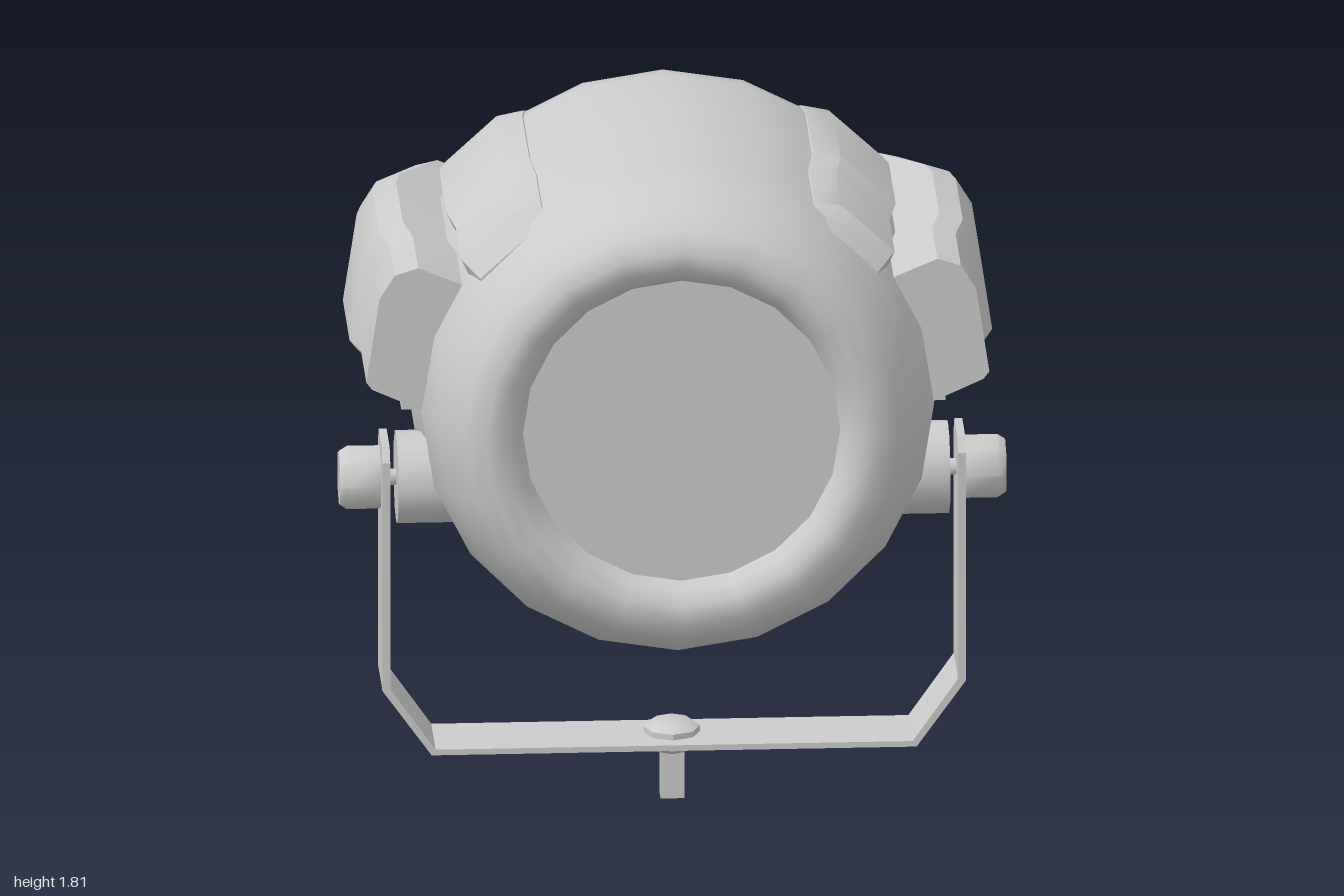
import * as THREE from 'three';
import { toCreasedNormals } from 'three/addons/utils/BufferGeometryUtils.js';

const CY = 1.135; // height of the lamp axis
const material = new THREE.MeshStandardMaterial({ color: 0xcccccc });

// Housing profile as [z, radius], back to front, ending inside the lip
const PROFILE = [
  [-0.76, 0], [-0.76, 0.08], [-0.74, 0.175], [-0.69, 0.27], [-0.62, 0.32], [-0.54, 0.345],
  [-0.42, 0.425], [-0.25, 0.525], [0.05, 0.66], [0.13, 0.675], [0.45, 0.675], [0.52, 0.65],
  [0.76, 0.65], [0.83, 0.62], [0.91, 0.59], [0.97, 0.55], [1, 0.5], [0.995, 0.455], [0.97, 0.42], [0.93, 0.4],
];

// Housing radius at a given z
function radiusAt(z) {
  for (let i = 1; i < 17; i++) {
    const [z0, r0] = PROFILE[i - 1], [z1, r1] = PROFILE[i];
    if (z <= z1 && z1 > z0) return r0 + (r1 - r0) * (z - z0) / (z1 - z0);
  }
  return 0.5;
}

function mesh(name, geometry) {
  const m = new THREE.Mesh(geometry, material);
  m.name = name;
  return m;
}

// Turned part: [radius, height] points around the y axis
function turned(points, sides, crease = 0.7) {
  const geo = new THREE.LatheGeometry(points.map(p => new THREE.Vector2(...p)), sides);
  return toCreasedNormals(geo, crease);
}

// Sweep a counter-clockwise section along z, moved radially with the housing.
// Stations are [z, extra radial offset], front to back.
function sweepOnBody(section, stations, side) {
  const pts = side > 0 ? section : section.map(([x, y]) => [-x, y]).reverse();
  const n = pts.length, pos = [], idx = [];
  for (const [z, extra] of stations) {
    const shift = radiusAt(z) - 0.675 + extra;
    for (const [x, y] of pts) {
      const d = Math.hypot(x, y - CY);
      pos.push(x + x / d * shift, y + (y - CY) / d * shift, z);
    }
  }
  const last = (stations.length - 1) * n;
  for (let s = 0; s < last; s += n) {
    for (let i = 0; i < n; i++) {
      const j = (i + 1) % n;
      idx.push(s + i, s + n + i, s + j, s + j, s + n + i, s + n + j);
    }
  }
  for (const [a, b, c] of THREE.ShapeUtils.triangulateShape(pts.map(p => new THREE.Vector2(...p)), [])) {
    idx.push(a, b, c, last + a, last + c, last + b);
  }
  const geo = new THREE.BufferGeometry();
  geo.setAttribute('position', new THREE.Float32BufferAttribute(pos, 3));
  geo.setIndex(idx);
  return toCreasedNormals(geo, 0.6);
}

export function createModel() {
  const model = new THREE.Group();
  model.name = 'spotlight';

  // Housing and lens
  const bodyGeo = new THREE.LatheGeometry(PROFILE.map(([z, r]) => new THREE.Vector2(r, z)), 20);
  const body = mesh('housing', bodyGeo.rotateX(Math.PI / 2));
  body.position.y = CY;
  const lens = mesh('lens', new THREE.CircleGeometry(0.405, 20));
  lens.position.set(0, CY, 0.935);
  model.add(body, lens);

  // Rear handle: tapered stem with a flat oval grip
  const stem = mesh('handleStem', turned(
    [[0, 0], [0.07, 0], [0.07, 0.02], [0.035, 0.05], [0.013, 0.2], [0.013, 0.22]], 8).rotateX(-Math.PI / 2));
  stem.position.set(0, 1.145, -0.755);
  const grip = mesh('handleGrip', turned(
    [[0, 0], [0.085, 0], [0.093, 0.01], [0.093, 0.03], [0.085, 0.038], [0, 0.038]], 8)
    .rotateX(-Math.PI / 2).scale(1, 0.33, 1));
  grip.position.set(0, 1.145, -0.962);
  model.add(stem, grip);

  // Side parts
  const wingSection = [[0.55, 1.13], [0.65, 1.13], [0.8, 1.2], [0.815, 1.22], [0.78, 1.45],
    [0.74, 1.515], [0.68, 1.535], [0.62, 1.51], [0.55, 1.48]];
  const plateSection = [[0.4, 1.58], [0.54, 1.49], [0.57, 1.56], [0.43, 1.69], [0.36, 1.705], [0.32, 1.66]];
  const run = [[0.52, 0], [0.44, 0], [0.13, 0], [0.05, 0], [-0.24, 0]];

  for (const side of [1, -1]) {
    const group = new THREE.Group();
    group.name = side > 0 ? 'leftSide' : 'rightSide';
    model.add(group);

    group.add(mesh('sideVane', sweepOnBody(wingSection, [[0.76, 0], ...run], side)));
    group.add(mesh('raisedPanel', sweepOnBody(plateSection, [[0.82, -0.03], [0.76, 0], ...run], side)));

    // Tabs under the vane
    for (const z of [0.5, 0.09]) {
      const tab = mesh('vaneTab', new THREE.BoxGeometry(0.1, 0.09, 0.1));
      tab.position.set(side * 0.64, 1.115, z);
      group.add(tab);
    }

    // Pivot boss, pin and clamp knob
    const turn = -side * Math.PI / 2;
    const pivot = [
      ['pivotBoss', [[0, 0.45], [0.12, 0.45], [0.12, 0.7], [0, 0.7]], 12],
      ['pivotPin', [[0.022, 0.69], [0.022, 0.76]], 8],
      ['clampKnob', [[0, 0.742], [0.085, 0.742], [0.085, 0.825], [0.072, 0.845], [0, 0.845]], 8],
    ];
    for (const [name, points, sides] of pivot) {
      const part = mesh(name, turned(points, sides, 0.85).rotateZ(turn));
      part.position.set(0, 0.87, 0.49);
      group.add(part);
    }

    // Chamfered end of the yoke arm
    const tip = new THREE.Shape([[-0.1, 0.94], [0.1, 0.94], [0.07, 0.975], [-0.07, 0.975]]
      .map(p => new THREE.Vector2(...p)));
    const tipGeo = new THREE.ExtrudeGeometry(tip, { depth: 0.02, bevelEnabled: false });
    const armTip = mesh('yokeArmTip', tipGeo.translate(0, 0, -0.01).rotateY(Math.PI / 2));
    armTip.position.set(side * 0.73, 0, 0.49);
    group.add(armTip);
  }

  // Yoke strap
  const outer = [[0.74, 0.94], [0.74, 0.33], [0.615, 0.155]];
  const inner = [[0.605, 0.17], [0.72, 0.335], [0.72, 0.94]];
  const flip = list => list.map(([x, y]) => [-x, y]).reverse();
  const strap = new THREE.Shape([...outer, ...flip(outer), ...flip(inner), ...inner]
    .map(p => new THREE.Vector2(...p)));
  const yoke = mesh('yoke', new THREE.ExtrudeGeometry(strap, { depth: 0.2, bevelEnabled: false }));
  yoke.position.z = 0.39;
  model.add(yoke);

  // Mounting bolt: faceted head and square spigot
  const head = mesh('boltHead', turned(
    [[0, 0.115], [0.035, 0.12], [0.072, 0.14], [0.072, 0.185], [0.05, 0.2], [0, 0.2]], 8));
  head.position.z = 0.48;
  const spigot = mesh('spigot', new THREE.BoxGeometry(0.06, 0.13, 0.06));
  spigot.position.set(0, 0.065, 0.48);
  model.add(head, spigot);

  return model;
}
